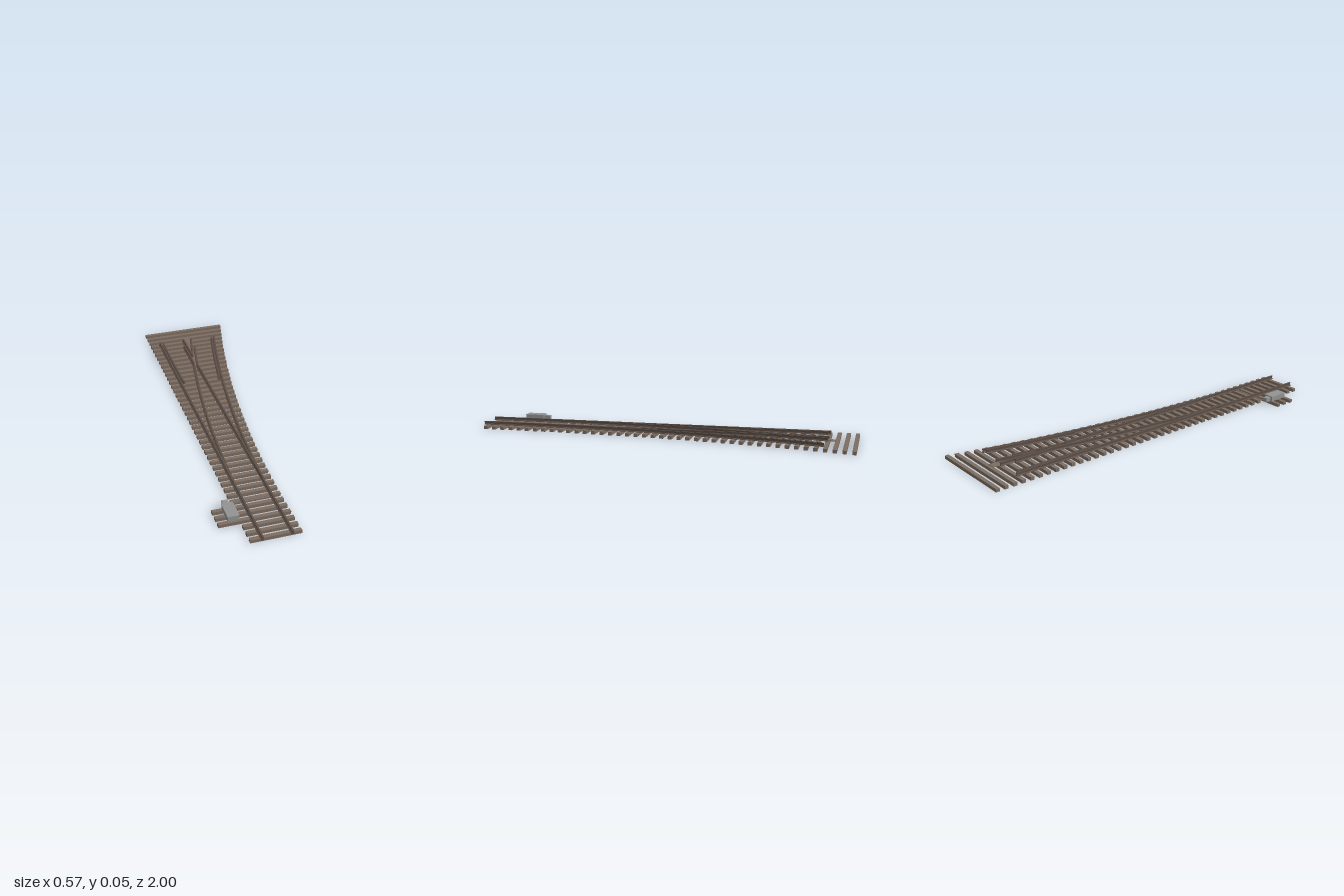
import * as THREE from 'three';

const TIE_TOP = 0.017, RAIL_H = 0.018;
const LEFT = -0.126, RIGHT = 0.0155;

// sideways drift of the diverging track
const drift = z => (z < 0.75 ? 0.073 * (0.75 - z) ** 2 : 0);

// rail section: foot, web and head
function railShape() {
  const half = [[0.008, 0], [0.008, 0.002], [0.002, 0.005], [0.002, 0.012], [0.0045, 0.0135], [0.0045, RAIL_H]];
  const left = half.map(([x, y]) => [-x, y]).reverse();
  return new THREE.Shape([...half, ...left].map(([x, y]) => new THREE.Vector2(x, y)));
}

// sweep the section from zBack to zFront along x = path(z)
function railGeometry(zBack, zFront, path, width = () => 1, steps = 28) {
  const g = new THREE.ExtrudeGeometry(railShape(), { depth: zFront - zBack, steps, bevelEnabled: false });
  const p = g.attributes.position;
  for (let i = 0; i < p.count; i++) {
    const z = p.getZ(i) + zBack;
    p.setXYZ(i, p.getX(i) * width(z) + path(z), p.getY(i) + TIE_TOP, z);
  }
  g.computeVertexNormals();
  return g;
}

export function createModel() {
  const root = new THREE.Group();
  root.name = 'railwayTurnout';
  const wood = new THREE.MeshStandardMaterial({ name: 'sleeperWood', color: 0x7d6d62 });
  const steel = new THREE.MeshStandardMaterial({ name: 'rustySteel', color: 0x5c4f47 });
  const grey = new THREE.MeshStandardMaterial({ name: 'motorGrey', color: 0x929391 });

  const add = (name, geometry, material, parent = root) => {
    const m = new THREE.Mesh(geometry, material);
    m.name = name;
    parent.add(m);
    return m;
  };
  const box = (name, x0, x1, y0, y1, z0, z1, material, parent) => {
    const m = add(name, new THREE.BoxGeometry(x1 - x0, y1 - y0, z1 - z0), material, parent);
    m.position.set((x0 + x1) / 2, (y0 + y1) / 2, (z0 + z1) / 2);
  };

  // sleepers widen with the diverging track; three reach out to the motor
  const sleepers = new THREE.Group();
  sleepers.name = 'sleepers';
  root.add(sleepers);
  for (let i = 0; i < 43; i++) {
    const z = -0.99 + i * 0.0468;
    const x0 = i >= 37 && i <= 39 ? -0.283 : -0.18;
    box('sleeper', x0, 0.064 + drift(z), 0, TIE_TOP, z - 0.01, z + 0.01, wood, sleepers);
  }

  // stock rails
  add('straightStockRail', railGeometry(-0.855, 1, () => LEFT, undefined, 1), steel);
  add('curvedStockRail', railGeometry(-0.84, 1, z => RIGHT + drift(z)), steel);

  // closure rails, thinned to points at the front and bent into wings at the crossing
  const point = z => THREE.MathUtils.clamp((0.72 - z) / 0.35, 0.15, 1);
  const curvedLeft = z => LEFT + drift(z);
  add('straightClosureRail', railGeometry(-0.76, 0.7,
    z => (z > -0.57 ? RIGHT : Math.max(RIGHT, curvedLeft(z) + 0.018)), point, 40), steel);
  add('curvedClosureRail', railGeometry(-0.78, 0.7,
    z => Math.min(curvedLeft(z), RIGHT - 0.015), point, 40), steel);

  // crossing nose: two rails meeting in a V on a base plate
  add('straightNoseRail', railGeometry(-0.855, -0.65, () => RIGHT, undefined, 1), steel);
  add('curvedNoseRail', railGeometry(-0.85, -0.65, curvedLeft, undefined, 8), steel);
  const plate = new THREE.Shape([[0.005, 0.55], [0.02, 0.55], [0.062, 0.89], [0.02, 0.89]]
    .map(([x, y]) => new THREE.Vector2(x, y)));
  const plateMesh = add('crossingPlate',
    new THREE.ExtrudeGeometry(plate, { depth: 0.003, bevelEnabled: false }), wood);
  plateMesh.rotation.x = -Math.PI / 2;
  plateMesh.position.y = TIE_TOP;

  // guard rails beside the outer rails, flared at both ends
  const flare = z => 0.003 * Math.max(0, (Math.abs(z + 0.61) - 0.19) / 0.04);
  add('leftGuardRail', railGeometry(-0.84, -0.38, z => LEFT + 0.014 + flare(z)), steel);
  add('rightGuardRail', railGeometry(-0.83, -0.37, z => RIGHT + drift(z) - 0.014 - flare(z)), steel);

  // bar that moves the points
  box('tieBar', -0.2, RIGHT, 0.014, 0.018, 0.708, 0.716, wood);

  // point motor
  const motor = new THREE.Group();
  motor.name = 'pointMotor';
  root.add(motor);
  box('motorBody', -0.235, -0.183, TIE_TOP, 0.042, 0.735, 0.835, grey, motor);
  box('motorLid', -0.237, -0.181, 0.042, 0.045, 0.733, 0.837, grey, motor);
  box('motorDrive', -0.226, -0.198, TIE_TOP, 0.039, 0.703, 0.735, grey, motor);

  return root;
}
